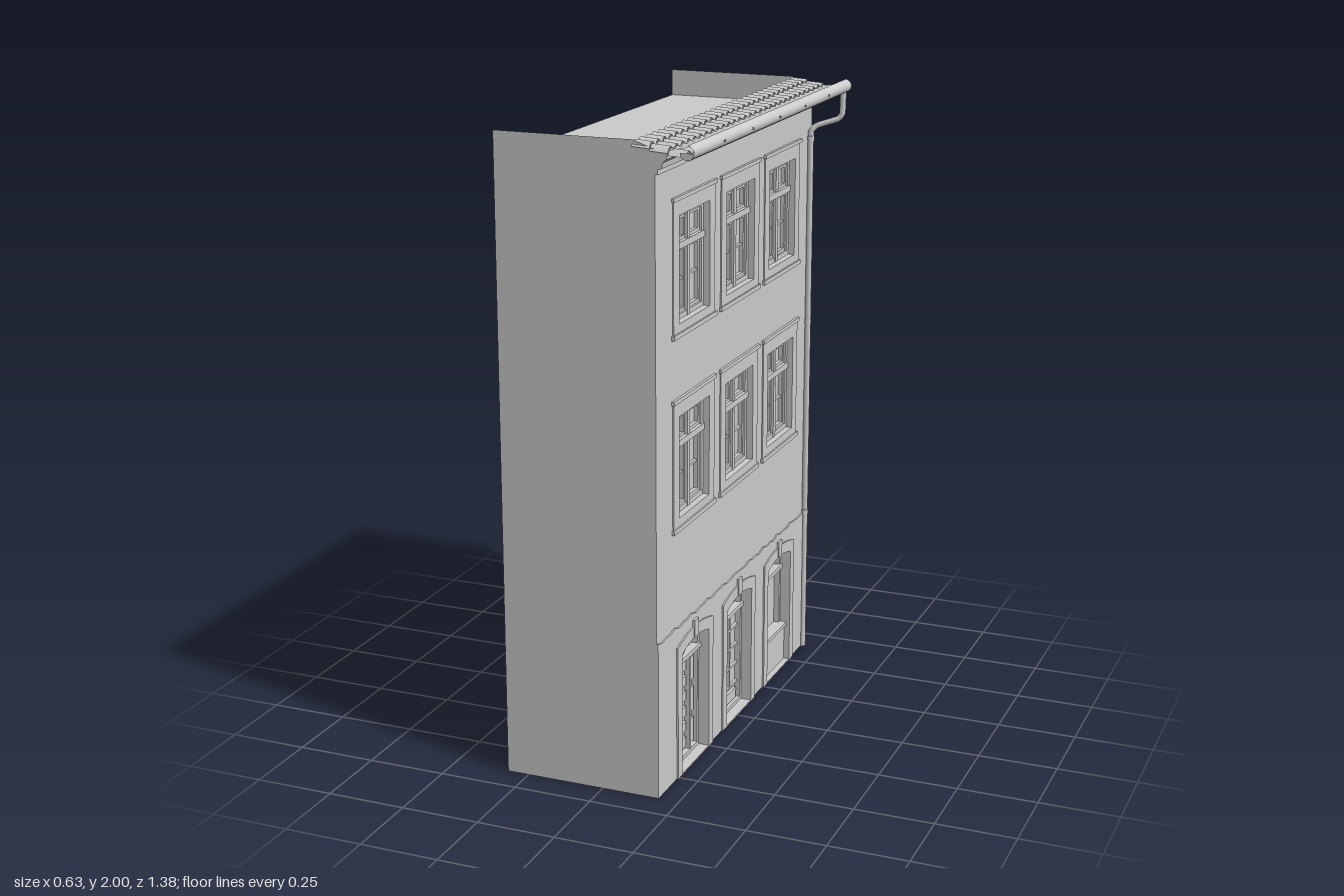
import * as THREE from 'three';

const mat = new THREE.MeshStandardMaterial({ color: 0xcccccc, side: THREE.DoubleSide });
const U0 = -0.655, U1 = 0.68;      // facade ends, u runs to the right when looking at the facade
const FACE = 0.18, BACK = -0.32;   // depth of facade and of open rear
const COLS = [-0.367, 0.012, 0.39];
const ROWS = [[0.84, 1.155], [1.435, 1.755]];
const WIN_W = 0.24, DOOR_W = 0.22, DOOR_TOP = 0.42, SILL = 0.004;

function add(parent, name, geometry) {
  const mesh = new THREE.Mesh(geometry, mat);
  mesh.name = name;
  parent.add(mesh);
  return mesh;
}

// Box given by its extents
function box(parent, name, u0, u1, y0, y1, d0, d1) {
  const m = add(parent, name, new THREE.BoxGeometry(u1 - u0, y1 - y0, d1 - d0));
  m.position.set((u0 + u1) / 2, (y0 + y1) / 2, (d0 + d1) / 2);
  return m;
}

// Rectangle with an optional segmental arch on top
function outline(c, w, y0, y1, rise = 0) {
  const s = new THREE.Shape();
  s.moveTo(c - w / 2, y0);
  s.lineTo(c + w / 2, y0);
  s.lineTo(c + w / 2, y1 - rise);
  if (rise) s.quadraticCurveTo(c, y1 + rise, c - w / 2, y1 - rise);
  else s.lineTo(c - w / 2, y1);
  s.closePath();
  return s;
}

function slab(parent, name, shape, holes, d0, d1) {
  shape.holes.push(...holes);
  const g = new THREE.ExtrudeGeometry(shape, { depth: d1 - d0, bevelEnabled: false, curveSegments: 10 });
  return add(parent, name, g.translate(0, 0, d0));
}

const doorHole = c => outline(c, DOOR_W, SILL, DOOR_TOP, 0.02);

function makeWindow(c, y0, y1) {
  const g = new THREE.Group();
  g.name = 'window';
  const w = WIN_W, h = y1 - y0, l = c - w / 2, r = c + w / 2;
  slab(g, 'reveal', outline(c, w + 0.02, y0 - 0.01, y1 + 0.01), [outline(c, w, y0, y1)], 0.135, FACE);
  slab(g, 'surround', outline(c, w + 0.085, y0 - 0.03, y1 + 0.045), [outline(c, w, y0, y1)], FACE - 0.004, FACE + 0.004);
  box(g, 'lintel', c - 0.17, c + 0.17, y1 + 0.045, y1 + 0.057, FACE, FACE + 0.009);
  box(g, 'sill', c - 0.17, c + 0.17, y0 - 0.04, y0 - 0.026, FACE, FACE + 0.009);
  box(g, 'glass', l, r, y0, y1, 0.137, 0.143);
  slab(g, 'frame', outline(c, w, y0, y1), [outline(c, w - 0.03, y0 + 0.015, y1 - 0.015)], 0.143, 0.163);
  // Cross of mullion and transom, then casement rims and glazing bars
  const ty = y0 + h * 0.69;
  box(g, 'mullion', c - 0.01, c + 0.01, y0, y1, 0.143, 0.165);
  box(g, 'transom', l, r, ty - 0.01, ty + 0.01, 0.143, 0.168);
  for (const s of [-1, 1]) {
    const cc = c + s * 0.0575;
    for (const [a, b] of [[y0 + 0.015, ty - 0.01], [ty + 0.01, y1 - 0.015]])
      slab(g, 'casement', outline(cc, 0.095, a, b), [outline(cc, 0.075, a + 0.01, b - 0.01)], 0.143, 0.156);
    box(g, 'glazingBar', cc - 0.045, cc + 0.045, y0 + h * 0.35, y0 + h * 0.35 + 0.007, 0.143, 0.153);
  }
  return g;
}

function makeDoor(c, kind) {
  const g = new THREE.Group();
  g.name = kind === 2 ? 'shopWindow' : 'door';
  const l = c - DOOR_W / 2, r = c + DOOR_W / 2;
  slab(g, 'reveal', outline(c, DOOR_W + 0.024, 0, DOOR_TOP + 0.012, 0.02), [doorHole(c)], 0.125, FACE);
  slab(g, 'surround', outline(c, DOOR_W + 0.07, 0, DOOR_TOP + 0.035, 0.023), [doorHole(c)], FACE, FACE + 0.01);
  box(g, 'keystone', c - 0.016, c + 0.016, DOOR_TOP, DOOR_TOP + 0.055, FACE, FACE + 0.013);
  slab(g, 'leaf', outline(c, DOOR_W, 0, DOOR_TOP, 0.02), [], 0.128, 0.136);
  slab(g, 'frame', outline(c, DOOR_W, SILL, DOOR_TOP, 0.02),
    [outline(c, DOOR_W - 0.024, SILL + 0.012, DOOR_TOP - 0.012, 0.018)], 0.136, 0.155);
  box(g, 'transom', l, r, 0.338, 0.352, 0.136, 0.162);
  // Fanlight bars
  for (const a of [-0.9, 0, 0.9]) {
    const bar = add(g, 'fanlightBar', new THREE.BoxGeometry(0.006, 0.06, 0.012).translate(0, 0.03, 0));
    bar.position.set(c, 0.35, 0.141);
    bar.rotation.z = a;
  }
  if (kind === 0) {
    // Horizontal boards and a side strip of small panels
    for (let i = 0; i < 6; i++)
      box(g, 'doorPanel', l + 0.03, l + 0.14, 0.03 + i * 0.052, 0.062 + i * 0.052, 0.136, 0.145);
    box(g, 'post', l + 0.15, l + 0.162, 0, 0.34, 0.136, 0.152);
    for (let i = 0; i < 3; i++)
      box(g, 'sidePanel', l + 0.172, l + 0.2, 0.025 + i * 0.105, 0.105 + i * 0.105, 0.136, 0.145);
  } else if (kind === 1) {
    // Narrow side leaf with panels and a glazed main leaf
    for (let i = 0; i < 3; i++)
      box(g, 'sidePanel', l + 0.02, l + 0.045, 0.025 + i * 0.105, 0.105 + i * 0.105, 0.136, 0.145);
    box(g, 'post', l + 0.055, l + 0.068, 0, 0.34, 0.136, 0.156);
    box(g, 'kickPanel', l + 0.085, r - 0.025, 0.02, 0.055, 0.136, 0.146);
    for (let i = 0; i < 4; i++)
      box(g, 'glazingBar', l + 0.068, r - 0.012, 0.07 + i * 0.067, 0.077 + i * 0.067, 0.136, 0.146);
    box(g, 'glazingBar', l + 0.135, l + 0.142, 0.07, 0.338, 0.136, 0.146);
  } else {
    // Solid apron below a large pane
    box(g, 'apron', l, r, 0, 0.13, 0.136, 0.17);
    box(g, 'ledge', l, r, 0.128, 0.14, 0.136, 0.178);
  }
  return g;
}

function makeRoof() {
  const g = new THREE.Group();
  g.name = 'roof';
  const deck = (name, d0, y0, d1, y1) => {
    const geo = new THREE.PlaneGeometry(U1 - U0, Math.hypot(d1 - d0, y1 - y0));
    const m = add(g, name, geo);
    m.position.set((U0 + U1) / 2, (y0 + y1) / 2, (d0 + d1) / 2);
    m.rotation.x = -Math.atan2(d1 - d0, y0 - y1 === 0 ? 0 : y1 - y0);
  };
  deck('flatRoof', BACK, 1.91, 0.11, 1.91);
  deck('roofUpstand', 0.11, 1.91, 0.11, 1.98);
  deck('tileBed', 0.11, 1.98, 0.27, 1.952);
  // Three overlapping courses of rounded tiles
  const n = 30, seg = 8, left = -0.66, width = 1.35;
  for (let k = 0; k < 3; k++) {
    const geo = new THREE.PlaneGeometry(width, 1, n * seg, 1);
    const p = geo.attributes.position;
    for (let i = 0; i < p.count; i++) {
      const u = p.getX(i) + width / 2, t = 0.5 - p.getY(i);
      const d = 0.11 + 0.055 * (k + t);
      const wave = Math.abs(Math.sin((u / width) * n * Math.PI));
      p.setXYZ(i, left + u, 1.98 - (d - 0.11) * 0.17 + t * 0.006 + wave * 0.018 - 0.004, d);
    }
    geo.computeVertexNormals();
    add(g, 'tileCourse', geo);
  }
  return g;
}

function makeGutter() {
  const g = new THREE.Group();
  g.name = 'rainwater';
  // Half-round trough with closed ends
  const trough = new THREE.CylinderGeometry(0.021, 0.021, 1.38, 12, 1, true, Math.PI / 2, Math.PI);
  add(g, 'gutter', trough.rotateZ(Math.PI / 2).rotateX(0)).position.set(0, 1.973, 0.29);
  const half = trough.boundingBox || (trough.computeBoundingBox(), trough.boundingBox);
  if (half.max.y > 0.01) trough.rotateX(Math.PI);       // open side up
  else if (half.max.z < 0.01) trough.rotateX(-Math.PI / 2);
  else if (half.min.z > -0.01) trough.rotateX(Math.PI / 2);
  for (const u of [-0.69, 0.69])
    add(g, 'gutterEnd', new THREE.CircleGeometry(0.021, 12, Math.PI, Math.PI).rotateY(Math.PI / 2)).position.set(u, 1.973, 0.29);
  for (const u of [-0.46, -0.23, 0, 0.23, 0.46])
    box(g, 'bracket', u - 0.003, u + 0.003, 1.97, 1.976, 0.26, 0.314);
  // Downpipe swan neck and straight run
  const path = new THREE.CurvePath();
  const pts = [[0.672, 1.96, 0.29], [0.672, 1.88, 0.288], [0.67, 1.865, 0.275], [0.652, 1.842, 0.205], [0.645, 1.825, 0.189], [0.645, 0, 0.189]]
    .map(a => new THREE.Vector3(...a));
  for (let i = 1; i < pts.length; i++) path.add(new THREE.LineCurve3(pts[i - 1], pts[i]));
  add(g, 'downpipe', new THREE.TubeGeometry(path, 160, 0.01, 10));
  for (const y of [0.5, 1.18, 1.8])
    add(g, 'pipeCollar', new THREE.CylinderGeometry(0.013, 0.013, 0.016, 10)).position.set(0.645, y, 0.188);
  return g;
}

export function createModel() {
  const model = new THREE.Group();
  model.name = 'townhouse';
  const house = new THREE.Group();
  house.name = 'house';
  house.rotation.y = Math.PI / 2;   // facade looks along +x
  model.add(house);

  // Facade with openings
  const mid = (U0 + U1) / 2, wall = outline(mid, U1 - U0, 0, 1.95);
  for (const c of COLS) {
    wall.holes.push(doorHole(c));
    for (const [a, b] of ROWS) wall.holes.push(outline(c, WIN_W, a, b));
  }
  add(house, 'facade', new THREE.ShapeGeometry(wall).translate(0, 0, FACE));

  // Ground floor plaster with a worn upper edge
  const plaster = new THREE.Shape();
  plaster.moveTo(U0, 0);
  plaster.lineTo(U1, 0);
  for (let i = 0; i <= 40; i++)
    plaster.lineTo(U1 - (U1 - U0) * i / 40, 0.495 + 0.006 * Math.sin(i * 2.3) * Math.cos(i * 0.7));
  slab(house, 'groundFloorPlaster', plaster, COLS.map(doorHole), FACE, FACE + 0.005);

  COLS.forEach((c, i) => {
    house.add(makeDoor(c, i));
    for (const [a, b] of ROWS) house.add(makeWindow(c, a, b));
  });

  // Side walls
  const side = new THREE.Shape([[BACK, 0], [FACE, 0], [FACE, 1.95], [0.2, 1.965], [0.11, 1.995], [BACK, 1.995]]
    .map(a => new THREE.Vector2(...a)));
  for (const u of [U0, U1])
    add(house, 'sideWall', new THREE.ShapeGeometry(side).rotateY(-Math.PI / 2).translate(u, 0, 0));

  // Cornice moulding under the eaves
  const cornice = new THREE.Shape([[0.17, 1.9], [0.188, 1.9], [0.188, 1.915], [0.2, 1.918], [0.203, 1.935], [0.215, 1.945], [0.217, 1.968], [0.17, 1.97]]
    .map(a => new THREE.Vector2(...a)));
  add(house, 'cornice', new THREE.ExtrudeGeometry(cornice, { depth: U1 - U0, bevelEnabled: false })
    .rotateY(-Math.PI / 2).translate(U1, 0, 0));

  house.add(makeRoof(), makeGutter());
  return model;
}
